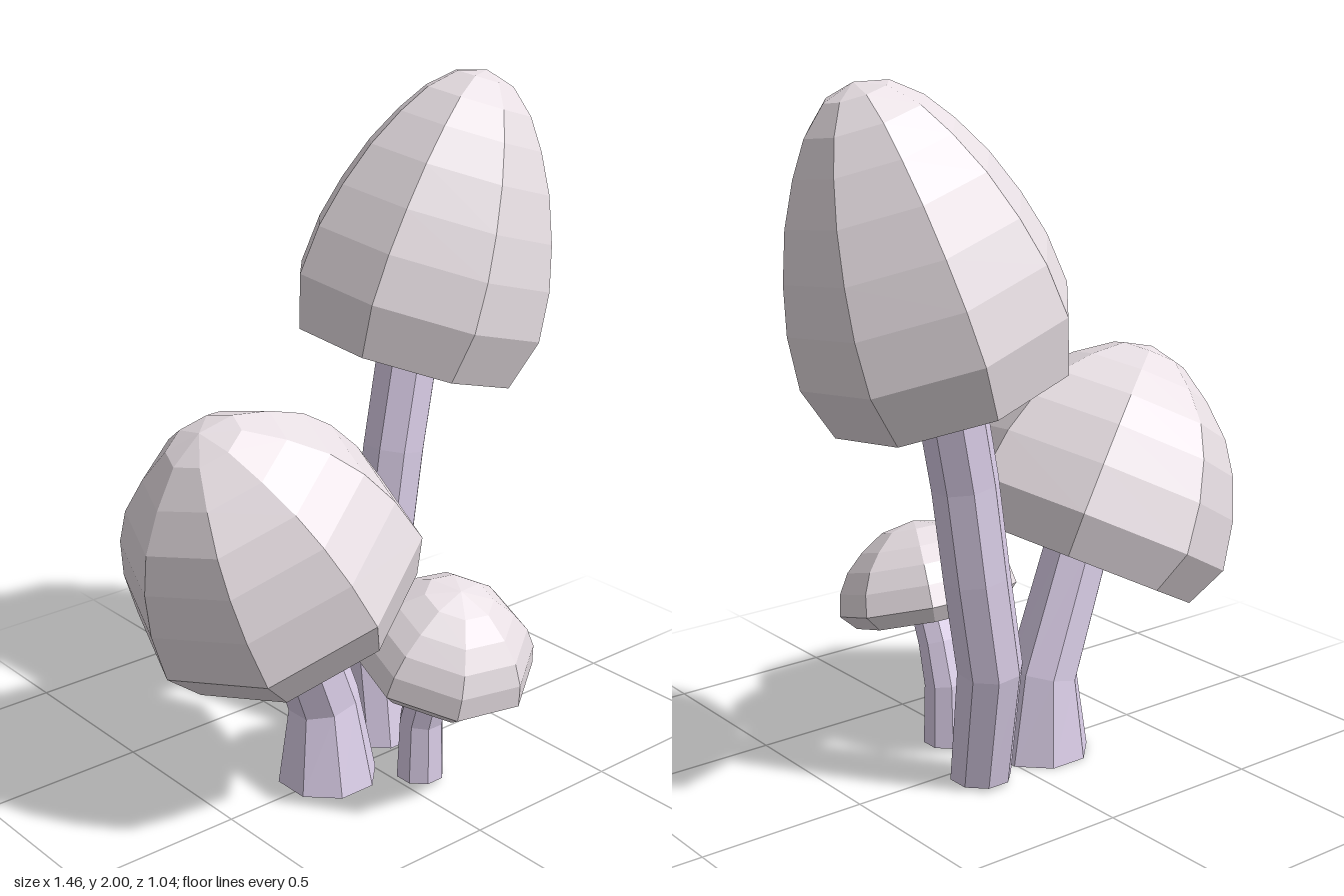
import * as THREE from 'three';

const SIDES = 8;
const capMaterial = new THREE.MeshStandardMaterial({ color: 0xe8dfe4, flatShading: true });
const stemMaterial = new THREE.MeshStandardMaterial({ color: 0xddd0ea, flatShading: true });
const UP = new THREE.Vector3(0, 1, 0);

// Faceted cap: profile of [radius, height] turned about a leaning axis
function makeCap({ base, axis, spin, profile }) {
  const points = [[0, 0], ...profile].map(([r, h]) => new THREE.Vector2(r, h));
  const geometry = new THREE.LatheGeometry(points, SIDES);
  geometry.rotateY(-THREE.MathUtils.degToRad(spin));
  const cap = new THREE.Mesh(geometry, capMaterial);
  cap.position.set(...base);
  cap.quaternion.setFromUnitVectors(UP, new THREE.Vector3(...axis).normalize());
  cap.name = 'cap';
  return cap;
}

// Bent stem: a cylinder whose rings are moved onto the path [x, y, z, radius]
function makeStem(path) {
  const last = path.length - 1;
  const centres = path.map(([x, y, z]) => new THREE.Vector3(x, y, z));
  const turns = centres.map((c, i) => {
    const q = new THREE.Quaternion();
    if (i === 0) return q; // the foot stays level
    const along = centres[Math.min(i + 1, last)].clone().sub(centres[i - 1]).normalize();
    return q.setFromUnitVectors(UP, along);
  });
  const geometry = new THREE.CylinderGeometry(1, 1, 1, SIDES, last);
  geometry.rotateY(Math.PI / 8);
  const position = geometry.attributes.position;
  const v = new THREE.Vector3();
  for (let i = 0; i < position.count; i++) {
    v.fromBufferAttribute(position, i);
    const ring = Math.round((v.y + 0.5) * last);
    v.y = 0;
    v.multiplyScalar(path[ring][3]).applyQuaternion(turns[ring]).add(centres[ring]);
    position.setXYZ(i, v.x, v.y, v.z);
  }
  geometry.computeVertexNormals();
  const stem = new THREE.Mesh(geometry, stemMaterial);
  stem.name = 'stem';
  return stem;
}

const mushrooms = [
  {
    name: 'tallMushroom',
    stem: [
      [0.135, 0.01, -0.08, 0.09], [0.155, 0.37, -0.15, 0.095], [0.2, 0.65, -0.15, 0.095],
      [0.235, 0.92, -0.145, 0.095], [0.3, 1.24, -0.15, 0.095],
    ],
    cap: {
      base: [0.29, 1.195, -0.17], axis: [0.31, 1, 0.09], spin: 18,
      profile: [[0.34, 0], [0.385, 0.155], [0.37, 0.3], [0.335, 0.43], [0.285, 0.56],
        [0.225, 0.67], [0.165, 0.755], [0.09, 0.82], [0, 0.845]],
    },
  },
  {
    name: 'wideMushroom',
    stem: [
      [-0.13, 0, -0.02, 0.15], [-0.135, 0.25, -0.03, 0.108], [-0.27, 0.63, -0.03, 0.1],
    ],
    cap: {
      base: [-0.24, 0.58, -0.03], axis: [-0.46, 0.887, 0], spin: 0,
      profile: [[0.371, 0], [0.43, 0.124], [0.405, 0.27], [0.36, 0.39], [0.3, 0.485],
        [0.21, 0.57], [0.11, 0.64], [0, 0.668]],
    },
  },
  {
    name: 'smallMushroom',
    stem: [
      [0.067, 0.015, 0.172, 0.072], [0.067, 0.2, 0.175, 0.066], [0.067, 0.32, 0.21, 0.062],
      [0.067, 0.43, 0.258, 0.06],
    ],
    cap: {
      base: [0.065, 0.39, 0.25], axis: [0, 0.954, 0.3], spin: 32,
      profile: [[0.225, 0], [0.268, 0.045], [0.255, 0.11], [0.222, 0.168], [0.17, 0.218],
        [0.1, 0.265], [0, 0.285]],
    },
  },
];

export function createModel() {
  const model = new THREE.Group();
  model.name = 'mushroomCluster';
  for (const { name, stem, cap } of mushrooms) {
    const mushroom = new THREE.Group();
    mushroom.name = name;
    mushroom.add(makeStem(stem), makeCap(cap));
    model.add(mushroom);
  }
  return model;
}
